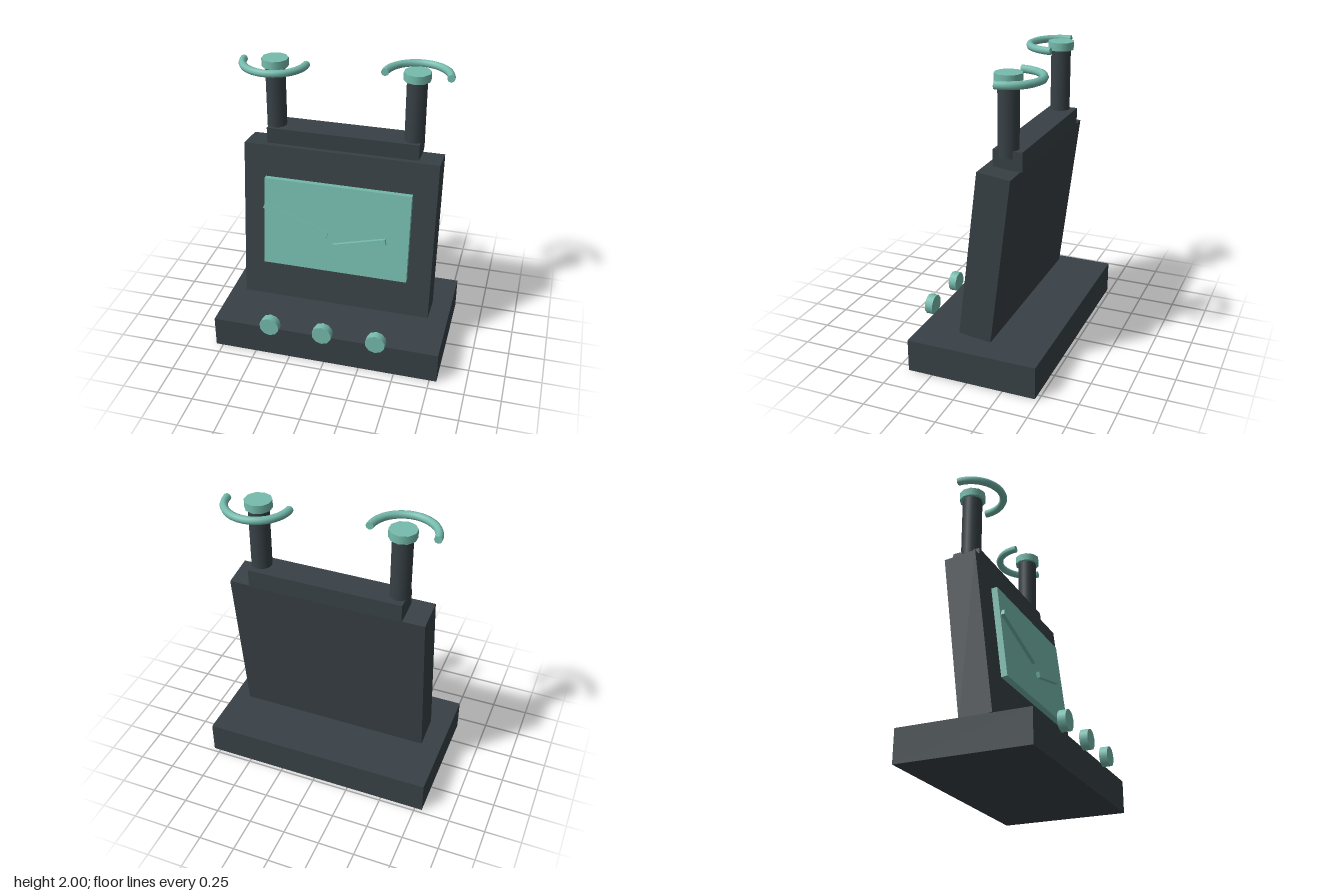
import * as THREE from 'three';

const dark = new THREE.MeshStandardMaterial({ color: 0x384146 });
const teal = new THREE.MeshStandardMaterial({ color: 0x76bcae });

function add(parent, name, geometry, material, x, y, z) {
  const mesh = new THREE.Mesh(geometry, material);
  mesh.name = name;
  mesh.position.set(x, y, z);
  parent.add(mesh);
  return mesh;
}

// Half ring lying flat, bulging toward +z, with closed ends
function halfRing(name, radius, tube) {
  const ring = new THREE.Group();
  ring.name = name;
  const arc = new THREE.TorusGeometry(radius, tube, 8, 24, Math.PI).rotateX(Math.PI / 2);
  add(ring, name + 'Arc', arc, teal, 0, 0, 0);
  for (const side of [-1, 1]) {
    // end discs face -z
    const end = new THREE.CircleGeometry(tube, 8).rotateY(Math.PI);
    add(ring, name + 'End', end, teal, side * radius, 0, 0);
  }
  return ring;
}

export function createModel() {
  const model = new THREE.Group();
  model.name = 'dialConsole';

  // Base slab
  add(model, 'base', new THREE.BoxGeometry(1.6, 0.225, 0.895), dark, 0, 0.1125, -0.0275);

  // Knobs along the front of the base
  for (const x of [-0.375, 0, 0.375]) {
    const knob = new THREE.CylinderGeometry(0.069, 0.069, 0.055, 10).rotateX(Math.PI / 2);
    add(model, 'knob', knob, teal, x, 0.277, 0.4475);
  }

  // Housing leaning back
  const tilt = -0.122;
  const housing = add(model, 'housing', new THREE.BoxGeometry(1.34, 1.144, 0.222), dark, 0, 0.838, -0.075);
  housing.rotation.x = tilt;

  // Screen with two raised hands, parallel to the housing
  const display = new THREE.Group();
  display.name = 'display';
  display.position.set(0, 0.889, 0.067);
  display.rotation.x = tilt;
  model.add(display);
  add(display, 'screen', new THREE.BoxGeometry(1.02, 0.64, 0.042), teal, 0, 0, 0);
  const hands = [
    { x: -0.278, y: 0.046, length: 0.48, angle: -0.35 },
    { x: 0.175, y: -0.07, length: 0.37, angle: 0.25 },
  ];
  for (const h of hands) {
    const hand = add(display, 'hand', new THREE.BoxGeometry(h.length, 0.04, 0.024), teal, h.x, h.y, 0.038);
    hand.rotation.z = h.angle;
  }

  // Bar across the top of the housing
  add(model, 'topBar', new THREE.BoxGeometry(1.044, 0.125, 0.195), dark, 0, 1.4625, -0.177);

  // Posts with caps and half rings, opening opposite ways
  for (const side of [-1, 1]) {
    const post = new THREE.Group();
    post.name = side > 0 ? 'leftPost' : 'rightPost';
    post.position.set(side * 0.473, 0, -0.165);
    model.add(post);
    add(post, 'postShaft', new THREE.CylinderGeometry(0.068, 0.068, 0.48, 12), dark, 0, 1.715, 0);
    add(post, 'postCap', new THREE.CylinderGeometry(0.09, 0.09, 0.055, 10), teal, 0, 1.9725, 0);
    const ring = halfRing('halfRing', 0.213, 0.026);
    ring.position.y = 1.9725;
    ring.rotation.y = side > 0 ? Math.PI : 0;
    post.add(ring);
  }

  return model;
}
